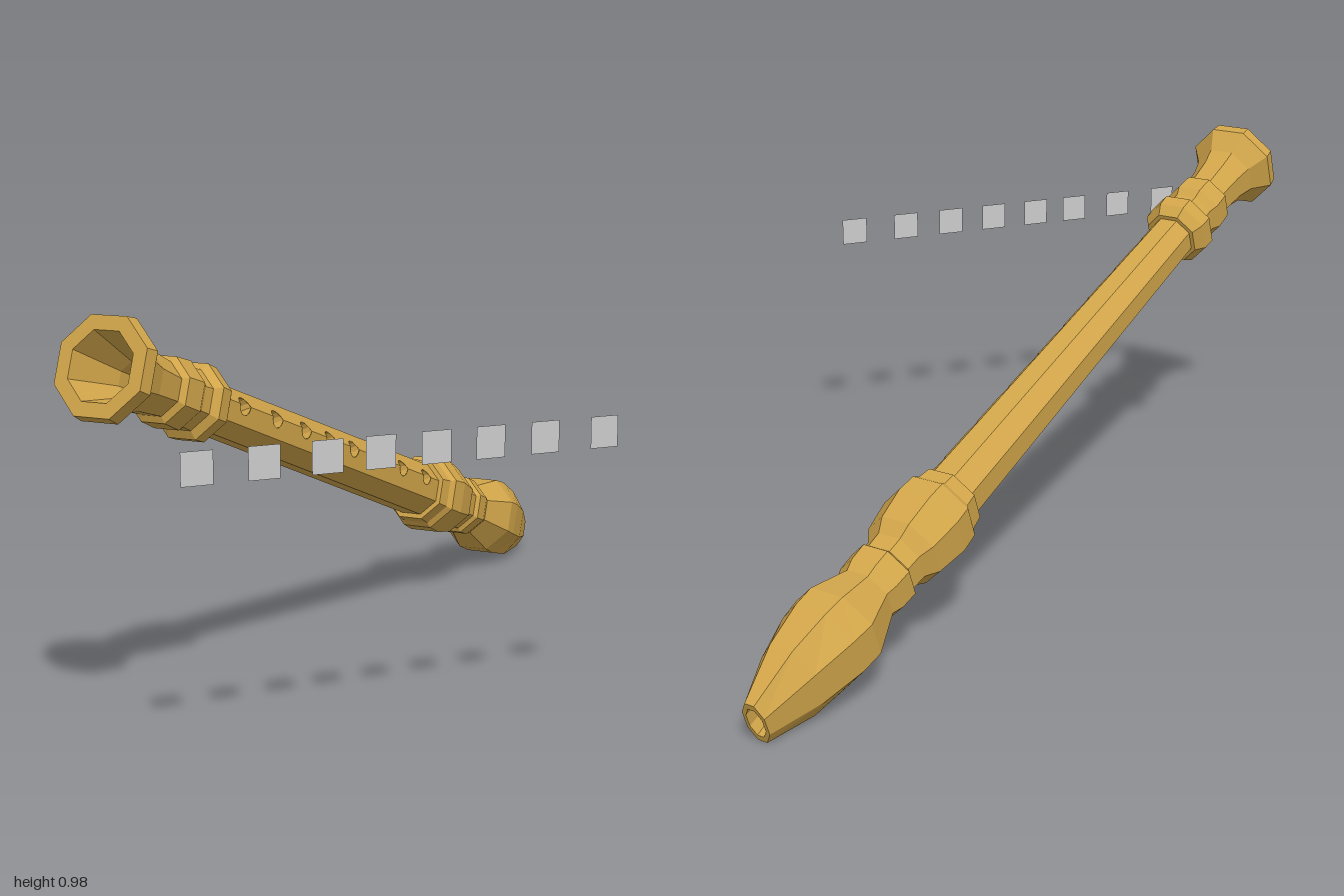
import * as THREE from 'three';

const wood = new THREE.MeshStandardMaterial({ color: 0xd1a54a, flatShading: true, side: THREE.DoubleSide });
const grey = new THREE.MeshStandardMaterial({ color: 0xcccccc, side: THREE.DoubleSide });

const SIDES = 8, STEP = Math.PI / 4, HALF = Math.PI / 8;
const BODY_START = 0.44, BODY_END = 1.65, HOLE_R = 0.025;
const HOLES = [0.53, 0.69, 0.84, 0.975, 1.11, 1.26, 1.415, 1.57];

// tapering radius of the main tube at distance s from the bell
const bodyRadius = s => THREE.MathUtils.mapLinear(s, BODY_START, BODY_END, 0.066, 0.08);

function mesh(name, geometry, material = wood) {
  const m = new THREE.Mesh(geometry, material);
  m.name = name;
  return m;
}

// faceted turned part; profile entries are [distance along the axis, radius]
function turned(name, profile, start = HALF, sides = SIDES) {
  const points = profile.map(([s, r]) => new THREE.Vector2(r, s));
  return mesh(name, new THREE.LatheGeometry(points, sides, start, sides * STEP));
}

// moves each vertex of a geometry by a rule
function reshape(geometry, rule) {
  const p = geometry.attributes.position, v = new THREE.Vector3();
  for (let i = 0; i < p.count; i++) {
    rule(v.fromBufferAttribute(p, i));
    p.setXYZ(i, v.x, v.y, v.z);
  }
  geometry.computeVertexNormals();
  return geometry;
}

// one flat side of the tube with half-round notches along the shared edge
function notchedPanel(dirX, dirZ) {
  const width = s => 2 * bodyRadius(s) * Math.sin(HALF);
  const shape = new THREE.Shape();
  shape.moveTo(0, BODY_START);
  for (const s of HOLES) {
    shape.lineTo(0, s - HOLE_R);
    shape.absarc(0, s, HOLE_R, -Math.PI / 2, Math.PI / 2, false);
  }
  shape.lineTo(0, BODY_END);
  shape.lineTo(width(BODY_END), BODY_END);
  shape.lineTo(width(BODY_START), BODY_START);
  const geometry = reshape(new THREE.ShapeGeometry(shape, 6), v => {
    const r = bodyRadius(v.y), w = v.x;
    v.x = r * Math.cos(HALF) + w * dirX;
    v.z = r * Math.sin(HALF) + w * dirZ;
  });
  return mesh('fingerPanel', geometry);
}

// wall of a finger hole, its top following the ridge of the tube
function holeWall(s) {
  const geometry = new THREE.CylinderGeometry(HOLE_R, HOLE_R, 1, 12, 1, true);
  reshape(geometry, v => {
    const side = v.x * Math.cos(HALF);
    const out = bodyRadius(s) - (v.y > 0 ? Math.abs(v.x) * Math.sin(HALF) : 0.036);
    v.set(out * Math.cos(HALF) - side * Math.sin(HALF), s + v.z,
      out * Math.sin(HALF) + side * Math.cos(HALF));
  });
  return mesh('fingerHole', geometry);
}

export function createModel() {
  const model = new THREE.Group();
  const flute = new THREE.Group();
  flute.name = 'flute';

  // flared bell with its bore and two rings
  flute.add(turned('bell', [
    [0.32, 0.04], [0.14, 0.045], [0.0, 0.088], [0.0, 0.125], [0.035, 0.13],
    [0.09, 0.09], [0.14, 0.078], [0.23, 0.07]]));
  flute.add(turned('footRings', [
    [0.23, 0.07], [0.24, 0.086], [0.30, 0.09], [0.325, 0.077], [0.355, 0.08],
    [0.37, 0.1], [0.41, 0.098], [0.44, 0.078], [0.44, 0.066]]));

  // main tube: six plain sides, two sides sharing the row of holes
  flute.add(turned('body', [
    [BODY_START, bodyRadius(BODY_START)], [BODY_END, bodyRadius(BODY_END)]], 5 * HALF, 6));
  flute.add(notchedPanel(0, -1), notchedPanel(-Math.SQRT1_2, Math.SQRT1_2));
  HOLES.forEach(s => flute.add(holeWall(s)));

  // collar and ring between tube and mouthpiece
  flute.add(turned('headCollar', [
    [1.65, 0.08], [1.65, 0.094], [1.69, 0.1], [1.705, 0.113], [1.76, 0.118], [1.85, 0.104],
    [1.885, 0.082], [1.93, 0.08], [1.94, 0.092], [1.99, 0.09], [2.02, 0.08]]));

  // swelling mouthpiece, flattened sideways toward its tip
  const mouthpiece = turned('mouthpiece', [
    [2.02, 0.08], [2.13, 0.12], [2.19, 0.124], [2.31, 0.112], [2.45, 0.063],
    [2.45, 0.045], [2.36, 0.035], [2.36, 0]]);
  reshape(mouthpiece.geometry, v => {
    v.x *= 1 - 0.45 * THREE.MathUtils.clamp((v.y - 2.13) / 0.32, 0, 1);
  });
  flute.add(mouthpiece);

  // lay the flute along its slanting axis
  const bellEnd = new THREE.Vector3(-0.915, 0.87, 0.52);
  const axis = new THREE.Vector3(0.975, 0.055, -0.81).sub(bellEnd).normalize();
  const side = new THREE.Vector3(-axis.z, 0, axis.x).normalize();
  const up = new THREE.Vector3().crossVectors(side, axis);
  flute.quaternion.setFromRotationMatrix(new THREE.Matrix4().makeBasis(side, axis, up));
  flute.position.copy(bellEnd);
  model.add(flute);

  // row of small floating squares in front
  [-0.815, -0.66, -0.51, -0.38, -0.24, -0.10, 0.045, 0.207].forEach(x => {
    const square = mesh('square', new THREE.PlaneGeometry(0.075, 0.075), grey);
    square.position.set(x, 0.685, 0.83);
    model.add(square);
  });
  return model;
}
